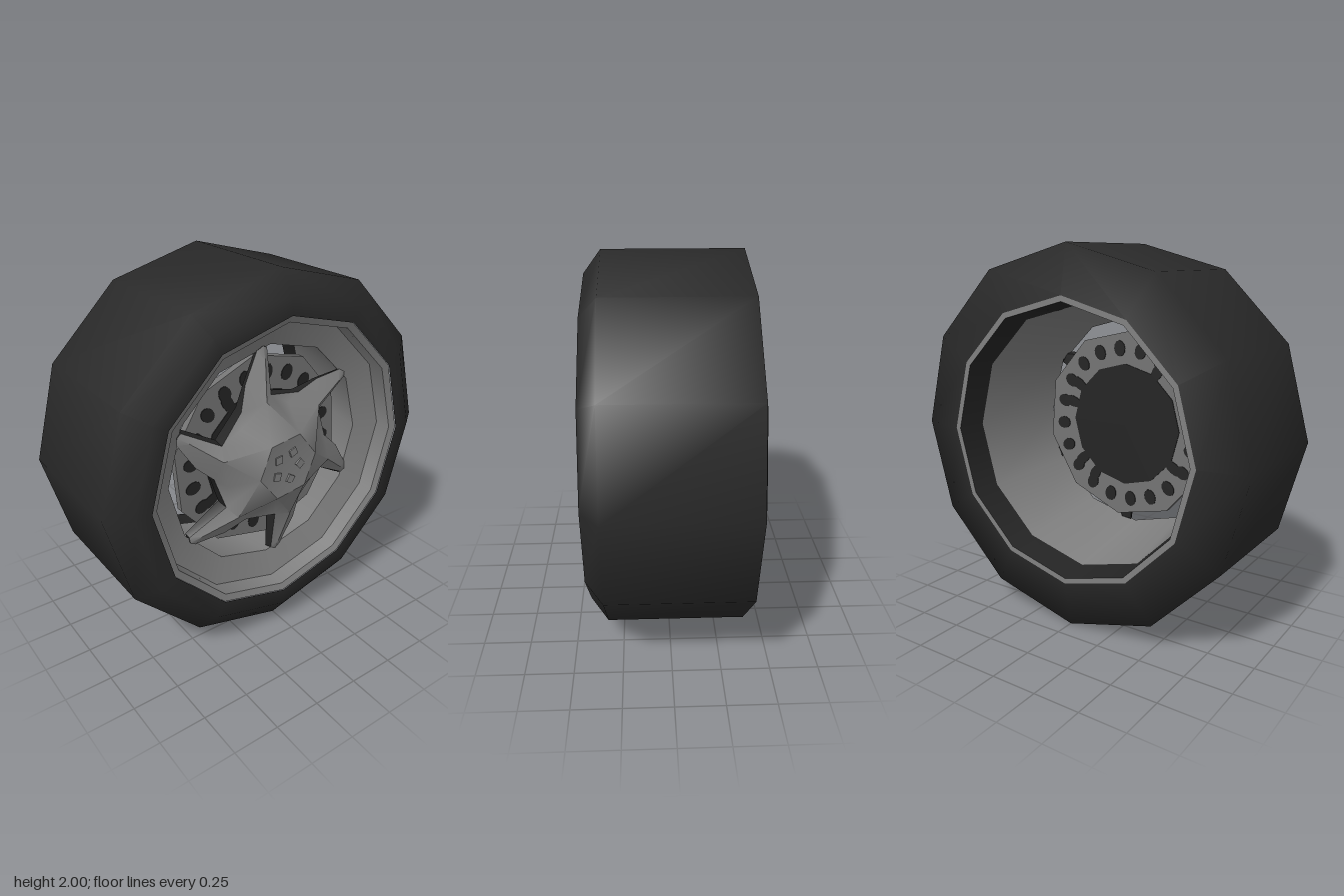
import * as THREE from 'three';
import { toCreasedNormals } from 'three/addons/utils/BufferGeometryUtils.js';

const mat = (name, color, side = THREE.FrontSide) => {
  const m = new THREE.MeshStandardMaterial({ color, side });
  m.name = name;
  return m;
};

// Point on the wheel: angle in degrees seen from the outer side, radius, x position
const polar = (deg, r, x) => {
  const a = THREE.MathUtils.degToRad(deg);
  return [x, r * Math.sin(a), -r * Math.cos(a)];
};

const geometryFrom = (positions) => {
  const g = new THREE.BufferGeometry();
  g.setAttribute('position', new THREE.Float32BufferAttribute(positions, 3));
  return toCreasedNormals(g, 0.7);
};

export function createModel() {
  const rubber = mat('tyre rubber', 0x292929);
  const metal = mat('rim grey', 0x808080);
  const discGrey = mat('disc grey', 0x747474);
  const dark = mat('dark recess', 0x242424, THREE.DoubleSide);

  const wheel = new THREE.Group();
  wheel.name = 'wheel';
  const add = (name, geometry, material) => {
    const m = new THREE.Mesh(geometry, material);
    m.name = name;
    wheel.add(m);
    return m;
  };

  // Twelve-sided ring around the x axis, profile given as [radius, x]
  const ring = (name, profile, material) => {
    const g = new THREE.LatheGeometry(profile.map(([r, x]) => new THREE.Vector2(r, x)), 12);
    add(name, g.rotateZ(-Math.PI / 2), material);
  };

  ring('tyre', [[0.75, -0.435], [1, -0.39], [1, 0.33], [0.88, 0.42], [0.79, 0.42]], rubber);

  // Rim: separate bands keep the edges between them sharp
  ring('rimLip', [[0.79, 0.415], [0.755, 0.4]], metal);
  ring('rimStep', [[0.755, 0.4], [0.75, 0.31]], metal);
  ring('rimFace', [[0.75, 0.31], [0.61, 0.26]], metal);
  ring('rimBarrel', [[0.61, 0.26], [0.7, -0.28]], metal);
  ring('innerBand', [[0.7, -0.28], [0.72, -0.435]], dark);
  ring('rearLip', [[0.72, -0.435], [0.75, -0.435]], metal);

  // Spoke star: one sixth, repeated around the hub; points are [angle, radius, x]
  const HUB0 = [68, 0.18, 0.428], HUB1 = [128, 0.18, 0.428];
  const V0 = [74, 0.305, 0.31], V1 = [134, 0.305, 0.31];
  const outline = [
    [63, 0.365, 0.29], [93.5, 0.36, 0.3], [92.5, 0.6, 0.265], [95, 0.615, 0.27],
    [98.5, 0.6, 0.265], [111, 0.47, 0.28], [123, 0.365, 0.29],
  ];
  const [R0, R1, T1, T2, T3, L1, L0] = outline;
  const C0 = [104, 0.36, 0.35], C1 = [96, 0.55, 0.295];
  const faces = [
    [V0, R0, R1], [HUB0, V0, R1], [HUB0, R1, C0], [R1, T1, C1], [R1, C1, C0], [T1, T2, C1],
    [T2, T3, C1], [T3, L1, C1], [C1, L1, C0], [L1, L0, C0], [C0, L0, V1], [C0, V1, HUB1],
    [C0, HUB1, HUB0],
  ];
  const front = [], walls = [], cap = [];
  for (let i = 0; i < 6; i++) {
    const turn = ([a, r, x]) => polar(a + 60 * i, r, x);
    // Walls are deeper near the hub and shallow along the spoke
    const back = ([a, r, x]) => polar(a + 60 * i - 1.2, r * 0.995, r < 0.45 ? 0.23 : x - 0.03);
    for (const f of faces) for (const p of f) front.push(...turn(p));
    cap.push(0.412, 0, 0, ...turn(HUB0), ...turn(HUB1));
    for (let k = 0; k < outline.length - 1; k++) {
      const A = outline[k], B = outline[k + 1];
      walls.push(...turn(A), ...back(A), ...back(B), ...turn(A), ...back(B), ...turn(B));
    }
    // Dark rear face of the spoke
    for (const [a, b, c] of [[R1, T1, T3], [R1, T3, L1], [R1, L1, L0], [R1, L0, R0]])
      walls.push(...back(a), ...back(c), ...back(b));
    walls.push(0.23, 0, 0, ...back(L0), ...back(R0));
  }
  add('spokes', geometryFrom(front), metal);
  add('spokeSides', geometryFrom(walls), dark);
  add('hubCap', geometryFrom(cap), metal);

  // Five square lug nuts
  for (let i = 0; i < 5; i++) {
    const a = -5 + 72 * i;
    const nut = add('lugNut', new THREE.BoxGeometry(0.02, 0.042, 0.042), metal);
    nut.position.set(...polar(a, 0.08, 0.418));
    nut.rotation.x = THREE.MathUtils.degToRad(a + 45);
  }

  // Ten-sided brake disc
  const discX = 0.165, half = 0.02;
  const disc = new THREE.CylinderGeometry(0.54, 0.54, half * 2, 10).rotateZ(-Math.PI / 2);
  const discMesh = add('brakeDisc', toCreasedNormals(disc, 0.5), discGrey);
  discMesh.position.x = discX;
  discMesh.rotation.x = THREE.MathUtils.degToRad(23);

  // Vent holes as thin dark plates on both faces; some run inward as slots
  const plate = (name, deg, r, length, width) => {
    const m = add(name, new THREE.CylinderGeometry(1, 1, 1, 12).rotateZ(-Math.PI / 2), dark);
    m.scale.set(half * 2 + 0.008, width, length);
    m.position.set(...polar(deg, r, discX));
    m.rotation.x = THREE.MathUtils.degToRad(deg);
  };
  for (let i = 0; i < 20; i++) {
    const a = 13 + 18 * i;
    plate('ventHole', a, 0.435, 0.045, 0.036);
    if (i % 5 === 1 || i % 17 === 0) plate('ventSlot', a + 2, 0.38, 0.06, 0.032);
  }
  plate('discCentre', 0, 0, 0.35, 0.35);

  wheel.position.y = 1;
  const model = new THREE.Group();
  model.name = 'wheelModel';
  model.add(wheel);
  return model;
}
